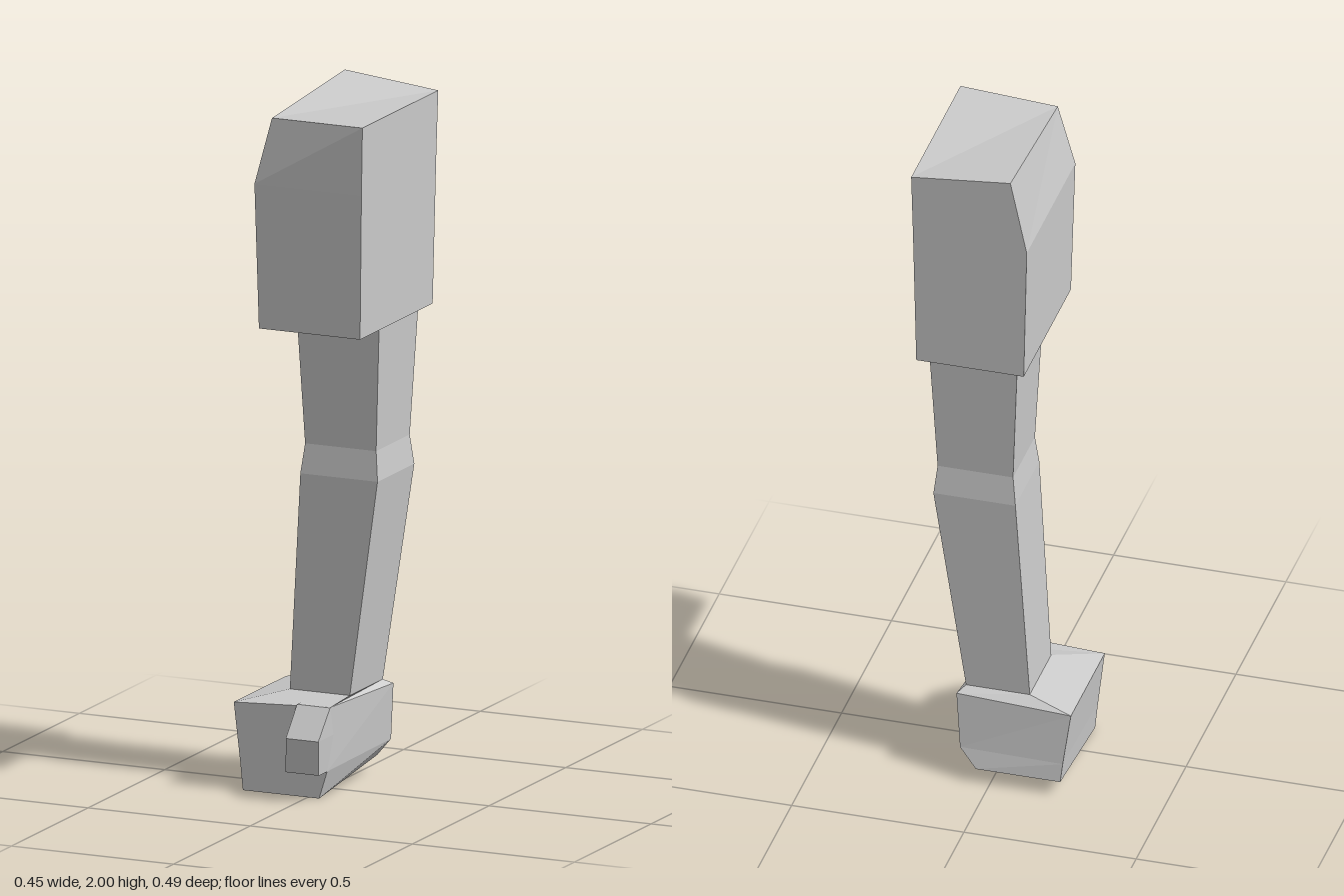
import * as THREE from 'three';

const material = new THREE.MeshStandardMaterial({ color: 0xcccccc, flatShading: true });

// Level ring from its extents, counter-clockwise from above, starting front at -x
const ring = (y, x0, x1, zBack, zFront) => [
  [x0, y, zFront], [x1, y, zFront], [x1, y, zBack], [x0, y, zBack],
];

// Closed faceted solid through four-cornered rings, listed bottom to top
function loft(name, rings) {
  const pos = [];
  const quad = (a, b, c, d) => pos.push(...a, ...b, ...c, ...a, ...c, ...d);
  for (let r = 0; r < rings.length - 1; r++) {
    for (let i = 0; i < 4; i++) {
      const j = (i + 1) % 4;
      quad(rings[r][i], rings[r][j], rings[r + 1][j], rings[r + 1][i]);
    }
  }
  const bottom = rings[0], top = rings[rings.length - 1];
  quad(bottom[3], bottom[2], bottom[1], bottom[0]);
  quad(...top);
  const geometry = new THREE.BufferGeometry();
  geometry.setAttribute('position', new THREE.Float32BufferAttribute(pos, 3));
  geometry.computeVertexNormals();
  const mesh = new THREE.Mesh(geometry, material);
  mesh.name = name;
  return mesh;
}

export function createModel() {
  const arm = new THREE.Group();
  arm.name = 'arm';

  // Shoulder block with one bevelled, slightly tilted top edge
  arm.add(loft('shoulder', [
    ring(1.36, -0.097, 0.215, -0.235, 0.238),
    ring(1.775, -0.108, 0.222, -0.243, 0.244),
    [[-0.062, 1.965, 0.227], [0.226, 1.97, 0.246], [0.226, 1.97, -0.248], [-0.062, 2, -0.248]],
  ]));

  // Upper arm, elbow band and forearm
  const elbowTop = ring(0.99, -0.052, 0.167, -0.187, 0.032);
  const elbowBottom = ring(0.905, -0.062, 0.176, -0.198, 0.042);
  const wrist = ring(0.28, -0.1, 0.085, -0.185, 0.03);
  arm.add(loft('upperArm', [elbowTop, ring(1.4, -0.071, 0.187, -0.207, 0.052)]));
  arm.add(loft('elbow', [elbowBottom, elbowTop]));
  arm.add(loft('forearm', [wrist, elbowBottom]));

  // Fist: tilted underside, chamfered inner edge, top rising to the wrist
  const hand = new THREE.Group();
  hand.name = 'hand';
  hand.add(loft('fist', [
    [[-0.2, 0, 0.125], [0.035, 0, 0.125], [0.04, 0.045, -0.243], [-0.205, 0.045, -0.243]],
    [[-0.208, 0.08, 0.125], [0.06, 0.08, 0.125], [0.09, 0.1, -0.228], [-0.21, 0.1, -0.235]],
    [[-0.228, 0.25, 0.125], [0.07, 0.265, 0.125], [0.105, 0.265, -0.212], [-0.228, 0.25, -0.215]],
    wrist,
  ]));

  // Thumb, sloping down over the front of the fist
  hand.add(loft('thumb', [
    ring(0.08, -0.042, 0.06, 0.1, 0.18),
    ring(0.182, -0.032, 0.068, 0.1, 0.2),
    ring(0.264, -0.032, 0.07, 0.1, 0.127),
  ]));
  arm.add(hand);

  return arm;
}
